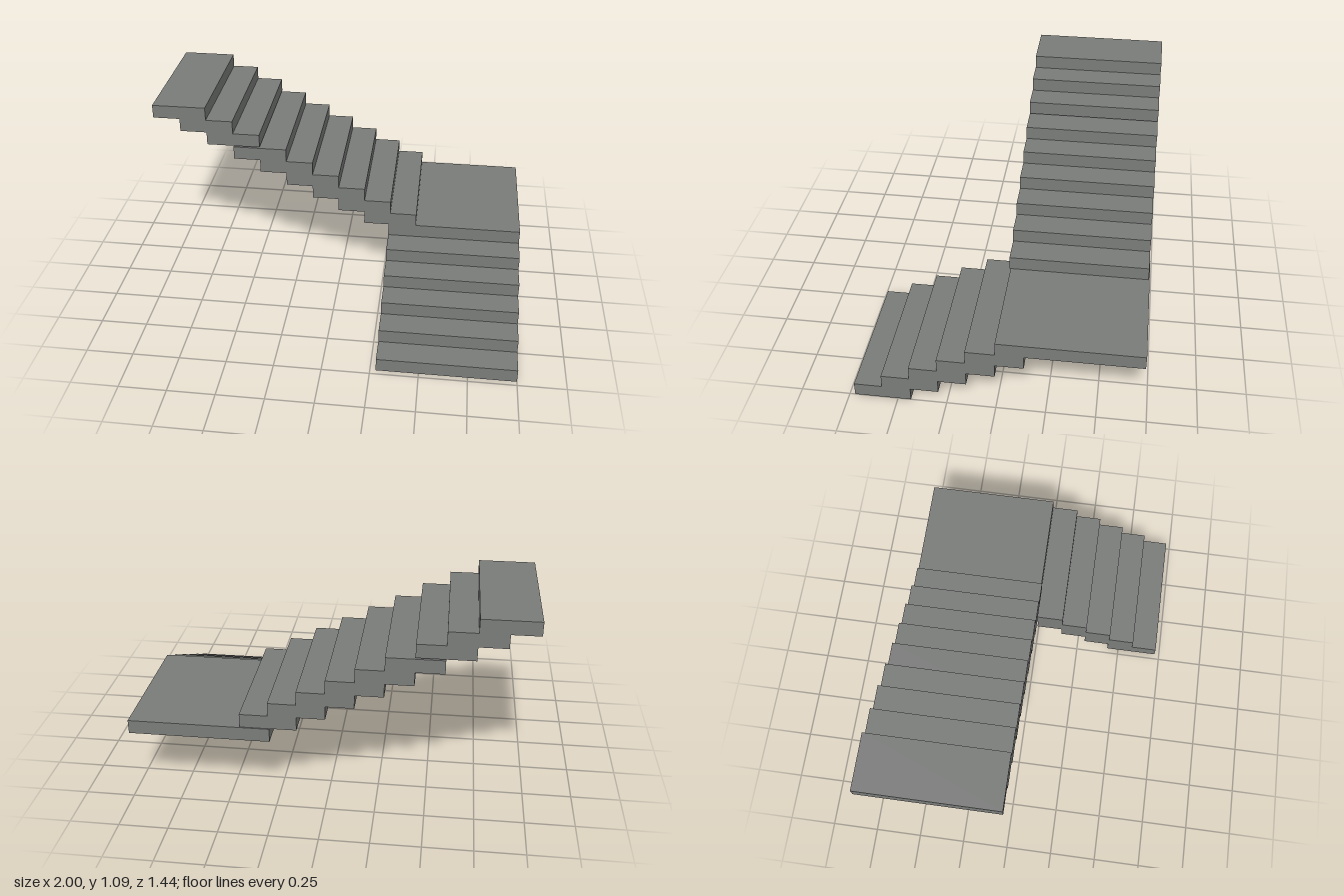
import * as THREE from 'three';

const RISE = 0.0725; // slab thickness and step height
const RUN = 0.1435; // horizontal advance per step
const DEPTH = 0.2885; // each tread overlaps the next one
const WIDTH = 0.72;

export function createModel() {
  const model = new THREE.Group();
  model.name = 'cornerStaircase';
  const concrete = new THREE.MeshStandardMaterial({ color: 0x7a7c7a });
  concrete.name = 'concrete grey';

  // Slab placed by its minimum corner
  function slab(parent, name, x, y, z, w, h, d) {
    const mesh = new THREE.Mesh(new THREE.BoxGeometry(w, h, d), concrete);
    mesh.position.set(x + w / 2, y + h / 2, z + d / 2);
    mesh.name = name;
    parent.add(mesh);
  }

  // Lower flight climbs towards the back
  const lower = new THREE.Group();
  lower.name = 'lowerFlight';
  for (let i = 0; i < 5; i++) {
    slab(lower, `lowerStep${i + 1}`, 0.28, i * RISE, 0.722 - DEPTH - i * RUN, WIDTH, RISE, DEPTH);
  }
  model.add(lower);

  // Square corner landing
  slab(model, 'landing', 0.28, 5 * RISE, -0.722, WIDTH, RISE, 0.722);

  // Upper flight climbs to the right, with a thin gap below the last three steps
  const upper = new THREE.Group();
  upper.name = 'upperFlight';
  for (let i = 0; i < 9; i++) {
    const y = 0.435 + i * 0.0719 + (i > 5 ? 0.007 : 0);
    const right = 0.43 - i * 0.143;
    slab(upper, `upperStep${i + 1}`, right - 0.286, y, -0.716, 0.286, 0.0719, 0.722);
  }
  model.add(upper);

  return model;
}
